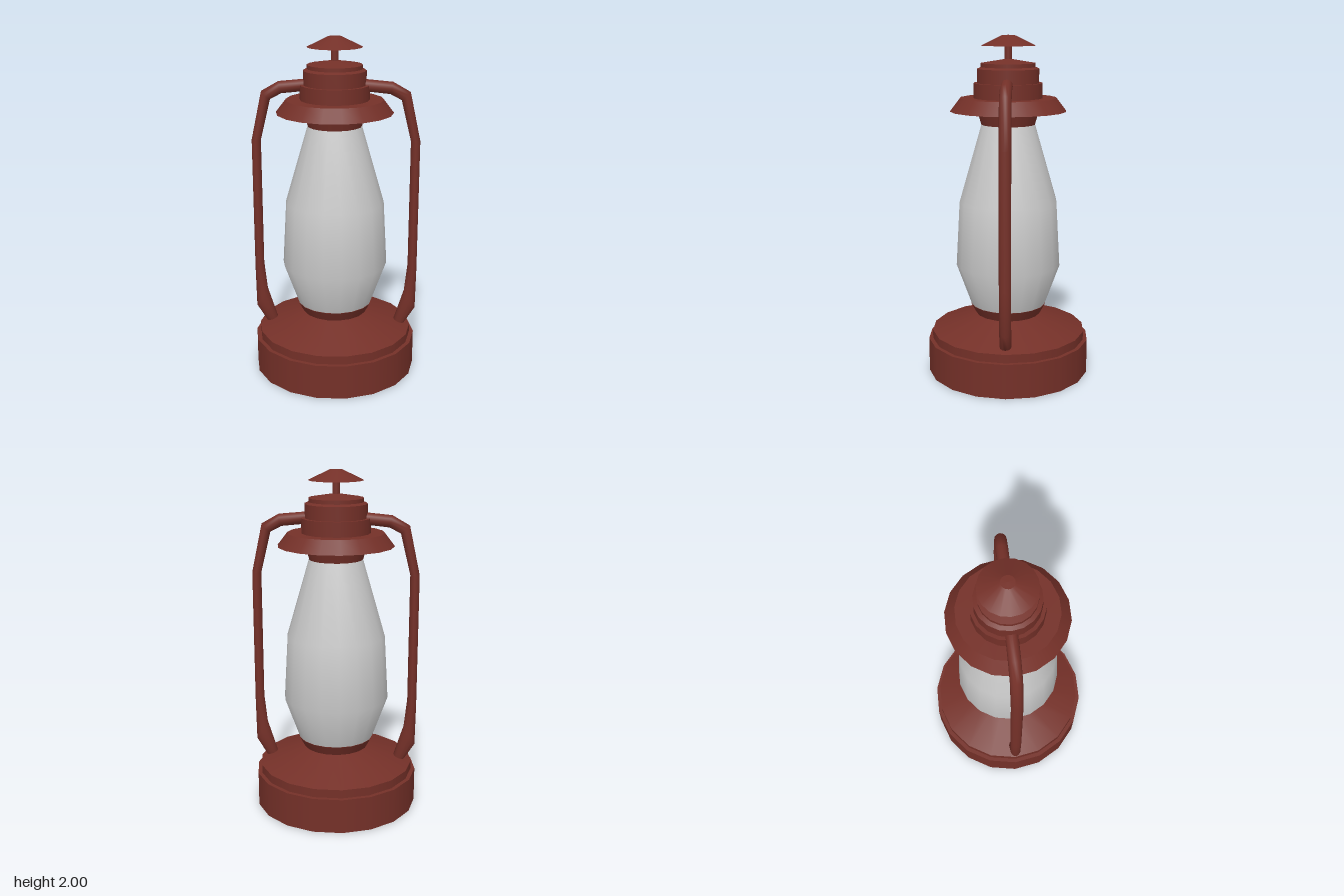
import * as THREE from 'three';

const SIDES = 18;
const metal = new THREE.MeshStandardMaterial({ color: 0x743028, side: THREE.DoubleSide });
const glass = new THREE.MeshStandardMaterial({ color: 0xcccccc, side: THREE.DoubleSide });

// Turned part: one band per profile step [radius, y], so rims stay sharp
function turned(name, profile, sides = SIDES) {
  const group = new THREE.Group();
  group.name = name;
  for (let i = 0; i < profile.length - 1; i++) {
    const pts = [profile[i], profile[i + 1]].map(([r, y]) => new THREE.Vector2(r, y));
    const band = new THREE.Mesh(new THREE.LatheGeometry(pts, sides, Math.PI / sides), metal);
    band.name = name + 'Band';
    group.add(band);
  }
  return group;
}

// Bent handle tube: each section spans an outer and an inner point
function handleGeometry() {
  const sections = [
    [0.165, 1.762, 0.165, 1.692],
    [0.325, 1.747, 0.31, 1.677],
    [0.425, 1.69, 0.375, 1.643],
    [0.487, 1.405, 0.433, 1.405],
    [0.487, 0.62, 0.433, 0.65],
    [0.483, 0.365, 0.415, 0.48],
    [0.42, 0.265, 0.355, 0.29],
  ];
  const n = 12, depth = 0.034, pos = [], index = [];
  sections.forEach(([ox, oy, ix, iy], s) => {
    for (let j = 0; j < n; j++) {
      const a = (j / n) * Math.PI * 2, c = Math.cos(a) / 2;
      pos.push((ox + ix) / 2 + (ox - ix) * c, (oy + iy) / 2 + (oy - iy) * c, depth * Math.sin(a));
      if (s === sections.length - 1) continue;
      const p = s * n + j, q = s * n + ((j + 1) % n);
      index.push(p, q, p + n, q, q + n, p + n);
    }
  });
  // Close the lower end
  const last = (sections.length - 1) * n;
  for (let j = 1; j < n - 1; j++) index.push(last, last + j, last + j + 1);
  const geo = new THREE.BufferGeometry();
  geo.setAttribute('position', new THREE.Float32BufferAttribute(pos, 3));
  geo.setIndex(index);
  geo.computeVertexNormals();
  return geo;
}

export function createModel() {
  const lantern = new THREE.Group();
  lantern.name = 'lantern';
  const body = new THREE.Group();
  body.name = 'body';
  body.position.set(-0.005, 0, -0.002);
  lantern.add(body);

  // Fuel tank with stepped rim, sloping shoulder and burner ring
  body.add(turned('fuelTank', [[0, 0], [0.482, 0], [0.482, 0.205], [0.458, 0.205], [0.458, 0.255], [0.193, 0.355]]));
  body.add(turned('burnerRing', [[0.193, 0.355], [0.225, 0.415], [0, 0.415]]));

  // Glass chimney
  const profile = [[0.222, 0.415], [0.31, 0.66], [0.288, 1.04], [0.156, 1.495]];
  const chimney = new THREE.Mesh(
    new THREE.LatheGeometry(profile.map(([r, y]) => new THREE.Vector2(r, y)), SIDES, Math.PI / SIDES), glass);
  chimney.name = 'glassChimney';
  body.add(chimney);

  // Neck, hollow brim and stepped collar
  body.add(turned('neck', [[0, 1.49], [0.156, 1.49], [0.2, 1.645]]));
  body.add(turned('brim', [[0.338, 1.57], [0.28, 1.645], [0.2, 1.645]]));
  body.add(turned('collar', [[0.2, 1.645], [0.2, 1.73], [0.18, 1.73], [0.18, 1.81],
    [0.158, 1.82], [0.158, 1.842], [0.02, 1.865]]));

  // Stem and cap
  body.add(turned('stem', [[0.021, 1.85], [0.021, 1.95]]));
  body.add(turned('cap', [[0, 1.94], [0.158, 1.94], [0.038, 1.998], [0, 2]]));

  // Side handles, one turned half way round
  const handle = handleGeometry();
  ['leftHandle', 'rightHandle'].forEach((name, i) => {
    const mesh = new THREE.Mesh(handle, metal);
    mesh.name = name;
    mesh.rotation.y = i * Math.PI;
    lantern.add(mesh);
  });
  return lantern;
}
